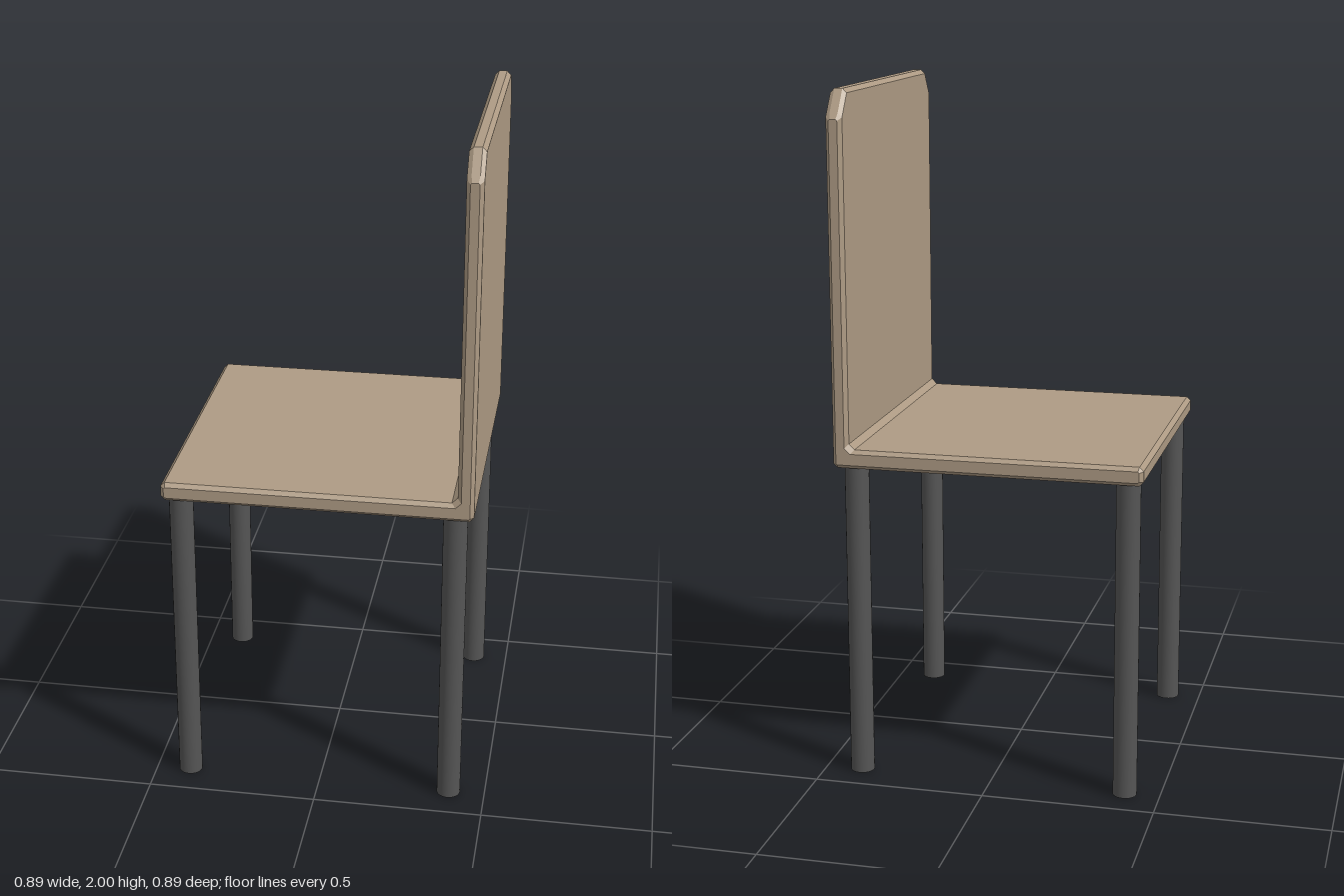
import * as THREE from 'three';

const HALF = 0.447, BOTTOM = 0.935, SEAT_TOP = 0.99, BACK_FRONT = 0.4;

// L-shaped section of seat and back: inset i, corner bevel b, height of the back
function section(i, b, top) {
  const x0 = -HALF + i, x1 = HALF - i, y0 = BOTTOM + i, ys = SEAT_TOP - i, xb = BACK_FRONT + i;
  return [
    [x0, y0 + b], [x0 + b, y0], [x1 - b, y0], [x1, y0 + b],
    [x1, top - b], [x1 - b, top], [xb + b, top], [xb, top - b],
    [xb, ys + 0.016], [xb - 0.016, ys], [x0 + b, ys], [x0, ys - b],
  ].map(([x, y]) => new THREE.Vector2(x, y));
}

// Loft the section across the width, lowering the top towards both sides
function shellGeometry() {
  const half = [[0.39, 0, 0.012, 2.0], [0.435, 0, 0.012, 1.937], [HALF, 0.011, 0.004, 1.92]];
  const layers = [...half.map(([z, ...r]) => [-z, ...r]).reverse(), ...half];
  const rings = layers.map(([z, i, b, top]) => ({ z, pts: section(i, b, top) }));
  const n = rings[0].pts.length, positions = [], index = [];
  for (const { z, pts } of rings) for (const p of pts) positions.push(p.x, p.y, z);
  for (let k = 0; k < rings.length - 1; k++) {
    for (let j = 0; j < n; j++) {
      const a = k * n + j, b = k * n + (j + 1) % n;
      index.push(a, b, b + n, a, b + n, a + n);
    }
  }
  // side caps
  const last = (rings.length - 1) * n;
  for (const [a, b, c] of THREE.ShapeUtils.triangulateShape(rings[0].pts, [])) {
    index.push(a, c, b, last + a, last + b, last + c);
  }
  const geo = new THREE.BufferGeometry();
  geo.setAttribute('position', new THREE.Float32BufferAttribute(positions, 3));
  geo.setIndex(index);
  const flat = geo.toNonIndexed();
  flat.computeVertexNormals();
  return flat;
}

export function createModel() {
  const model = new THREE.Group();
  model.name = 'chair';

  // one-piece seat and backrest
  const wood = new THREE.MeshStandardMaterial({ color: 0xae9b84, flatShading: true });
  const shell = new THREE.Mesh(shellGeometry(), wood);
  shell.name = 'seatAndBack';
  model.add(shell);

  // four round legs
  const metal = new THREE.MeshStandardMaterial({ color: 0x555555 });
  const legGeo = new THREE.CylinderGeometry(0.035, 0.035, BOTTOM + 0.005, 24);
  for (const [x, side] of [[-0.398, 'right'], [0.392, 'left']]) {
    for (const [z, end] of [[0.393, 'Front'], [-0.391, 'Back']]) {
      const leg = new THREE.Mesh(legGeo, metal);
      leg.name = side + end + 'Leg';
      leg.position.set(x, (BOTTOM + 0.005) / 2, z);
      model.add(leg);
    }
  }
  return model;
}
